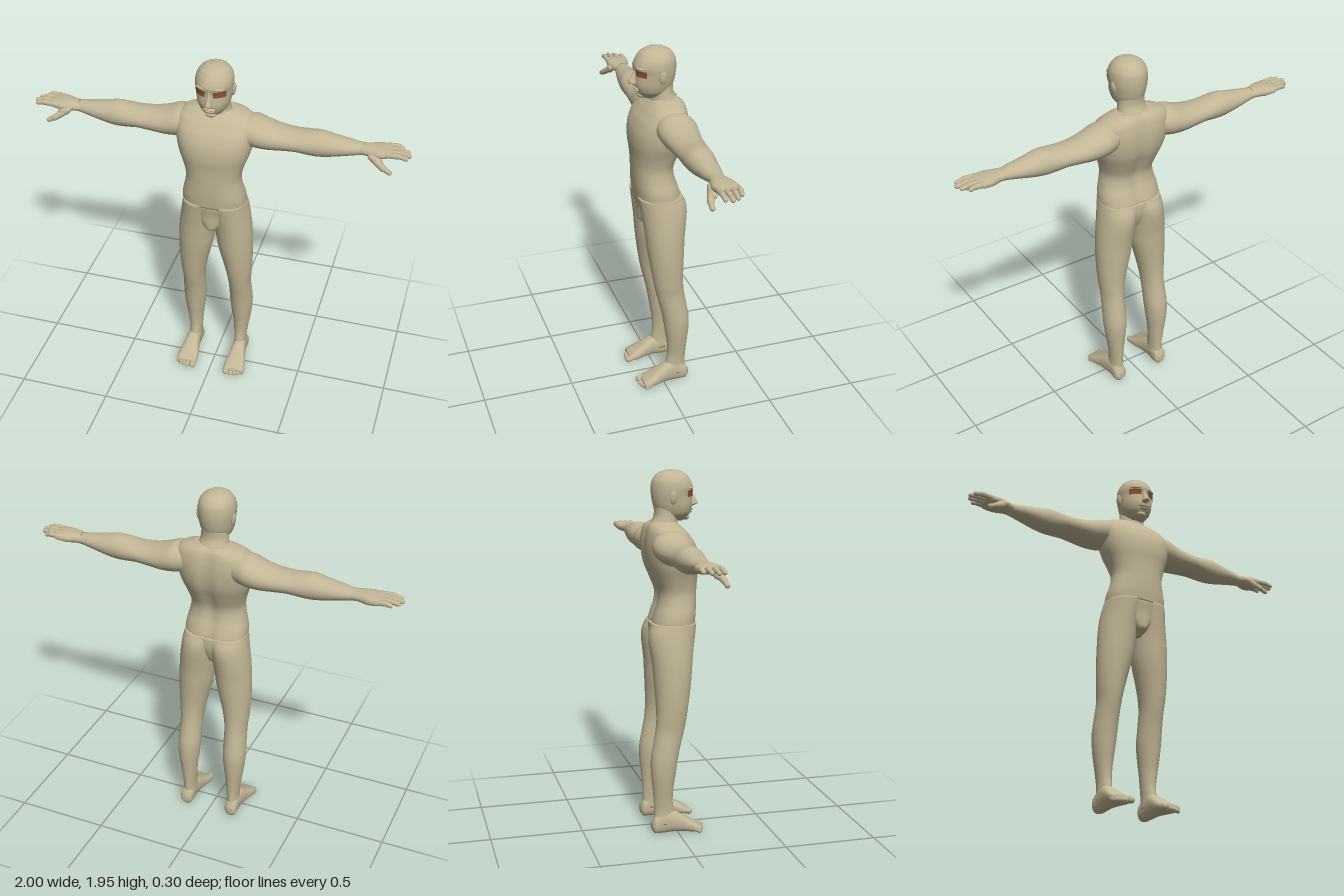
import * as THREE from 'three';

const skin = new THREE.MeshStandardMaterial({ color: 0xc2b696 });
skin.name = 'skin';
const eyeBrown = new THREE.MeshStandardMaterial({ color: 0x8c5238, side: THREE.DoubleSide });
eyeBrown.name = 'eye brown';

// Each axis with the two cross-section axes that follow it in right-handed order.
const AXES = { x: ['x', 'y', 'z'], y: ['y', 'z', 'x'], z: ['z', 'x', 'y'] };

// Smooth loft. Rows: [position, aMin, aMax, bMin, bMax, squareness], rising along the axis.
function loft(axis, rows, { seg = 36, sub = 5, arc = null, mirror = false, tweak = null } = {}) {
  const [u, a, b] = AXES[axis];
  const row = (i) => rows[Math.min(rows.length - 1, Math.max(0, i))];
  const rings = (rows.length - 1) * sub + 1;
  const cols = arc ? seg + 1 : seg;
  const [t0, t1] = arc || [0, Math.PI * 2];
  const pos = [], idx = [];
  const push = (p) => {
    if (tweak) tweak(p);
    pos.push(mirror ? -p.x : p.x, p.y, p.z);
  };
  const face = (i, j, k) => (mirror ? idx.push(i, k, j) : idx.push(i, j, k));
  const centres = [];
  for (let r = 0; r < rings; r++) {
    const i = Math.min(rows.length - 2, Math.floor(r / sub)), t = r / sub - i;
    const v = [0, 1, 2, 3, 4, 5].map((k) => {
      const [p0, p1, p2, p3] = [i - 1, i, i + 1, i + 2].map((n) => row(n)[k] ?? 2);
      const m1 = (p2 - p0) / 2, m2 = (p3 - p1) / 2;
      // position stays linear so that rings never fold over
      if (k === 0) return p1 + (p2 - p1) * t;
      return p1 + m1 * t + (3 * (p2 - p1) - 2 * m1 - m2) * t * t + (2 * (p1 - p2) + m1 + m2) * t ** 3;
    });
    const pw = (c) => Math.sign(c) * Math.abs(c) ** (2 / v[5]);
    for (let j = 0; j < cols; j++) {
      const th = t0 + ((t1 - t0) * j) / seg;
      const p = new THREE.Vector3();
      p[u] = v[0];
      p[a] = (v[1] + v[2]) / 2 + ((v[2] - v[1]) / 2) * pw(Math.cos(th));
      p[b] = (v[3] + v[4]) / 2 + ((v[4] - v[3]) / 2) * pw(Math.sin(th));
      push(p);
    }
    const c = new THREE.Vector3();
    c[u] = v[0]; c[a] = (v[1] + v[2]) / 2; c[b] = (v[3] + v[4]) / 2;
    centres.push(c);
  }
  for (let r = 0; r < rings - 1; r++) {
    for (let j = 0; j < seg; j++) {
      const k = (j + 1) % cols, p = r * cols, q = p + cols;
      face(p + j, p + k, q + k);
      face(p + j, q + k, q + j);
    }
  }
  if (!arc) {
    const lo = pos.length / 3, top = (rings - 1) * cols;
    push(centres[0]);
    push(centres[rings - 1]);
    for (let j = 0; j < seg; j++) {
      const k = (j + 1) % cols;
      face(lo, k, j);
      face(lo + 1, top + j, top + k);
    }
  }
  const g = new THREE.BufferGeometry();
  g.setAttribute('position', new THREE.Float32BufferAttribute(pos, 3));
  g.setIndex(idx);
  g.computeVertexNormals();
  return g;
}

function add(parent, name, geometry, material = skin) {
  const m = new THREE.Mesh(geometry, material);
  m.name = name;
  parent.add(m);
  return m;
}

// Rounded rod between two points, used for fingers and toes.
function rod(parent, name, from, to, radius) {
  const p = new THREE.Vector3(...from), q = new THREE.Vector3(...to);
  const d = q.clone().sub(p);
  const m = add(parent, name, new THREE.CapsuleGeometry(radius, d.length(), 5, 10));
  m.position.copy(p).add(q).multiplyScalar(0.5);
  m.quaternion.setFromUnitVectors(new THREE.Vector3(0, 1, 0), d.normalize());
  return m;
}

function ball(parent, name, pos, size) {
  const m = add(parent, name, new THREE.SphereGeometry(1, 18, 12));
  m.position.set(...pos);
  m.scale.set(...size);
  return m;
}

function buildHead() {
  const head = new THREE.Group();
  head.name = 'head';
  add(head, 'skull', loft('y', [
    [1.69, -0.04, 0.066, -0.03, 0.03], [1.703, -0.06, 0.085, -0.05, 0.05],
    [1.73, -0.075, 0.102, -0.072, 0.072], [1.765, -0.092, 0.113, -0.085, 0.085],
    [1.8, -0.101, 0.112, -0.091, 0.091], [1.83, -0.105, 0.109, -0.095, 0.095],
    [1.865, -0.106, 0.117, -0.097, 0.097], [1.9, -0.1, 0.104, -0.091, 0.091],
    [1.93, -0.08, 0.082, -0.073, 0.073], [1.948, -0.05, 0.052, -0.045, 0.045],
    [1.956, -0.012, 0.016, -0.012, 0.012]]));
  add(head, 'neck', loft('y', [
    [1.62, -0.13, 0.05, -0.1, 0.1], [1.67, -0.113, 0.035, -0.083, 0.083],
    [1.72, -0.09, 0.035, -0.072, 0.072], [1.78, -0.092, 0.05, -0.07, 0.07]]));
  add(head, 'nose', loft('y', [
    [1.766, 0.09, 0.122, -0.012, 0.012], [1.775, 0.09, 0.144, -0.02, 0.02],
    [1.79, 0.09, 0.143, -0.016, 0.016], [1.82, 0.085, 0.125, -0.011, 0.011],
    [1.85, 0.085, 0.115, -0.01, 0.01]], { seg: 16 }));
  ball(head, 'upperLip', [0, 1.749, 0.105], [0.032, 0.007, 0.014]);
  ball(head, 'lowerLip', [0, 1.736, 0.1], [0.027, 0.008, 0.015]);
  ball(head, 'chin', [0, 1.708, 0.078], [0.028, 0.017, 0.021]);
  for (const s of [-1, 1]) {
    ball(head, 'ear', [s * 0.095, 1.815, -0.01], [0.009, 0.034, 0.02]).rotation.z = -s * 0.12;
    ball(head, 'brow', [s * 0.042, 1.861, 0.096], [0.034, 0.008, 0.014]).rotation.y = s * 0.4;
    // thin patch following the face
    add(head, 'eye', loft('y', [
      [1.817, -0.105, 0.114, -0.098, 0.098], [1.833, -0.106, 0.114, -0.099, 0.099],
      [1.851, -0.106, 0.118, -0.1, 0.1]],
    { seg: 10, arc: s > 0 ? [0.22, 0.92] : [-0.92, -0.22] }), eyeBrown);
  }
  return head;
}

function buildTorso() {
  // shallow groove along the spine
  const spine = (p) => { if (p.z < -0.04) p.z += 0.014 * Math.exp(-((p.x / 0.03) ** 2)); };
  return loft('y', [
    [1.15, -0.118, 0.119, -0.17, 0.17, 2.4], [1.2, -0.105, 0.124, -0.167, 0.167, 2.4],
    [1.26, -0.087, 0.128, -0.153, 0.153, 2.3], [1.32, -0.085, 0.13, -0.146, 0.146, 2.3],
    [1.39, -0.11, 0.133, -0.162, 0.162, 2.4], [1.46, -0.138, 0.14, -0.187, 0.187, 2.4],
    [1.53, -0.15, 0.133, -0.2, 0.2, 2.5], [1.59, -0.15, 0.108, -0.203, 0.203, 2.6],
    [1.64, -0.142, 0.07, -0.197, 0.197, 2.5], [1.668, -0.132, 0.042, -0.165, 0.165, 2.3],
    [1.69, -0.112, 0.02, -0.1, 0.1, 2]], { seg: 56, tweak: spine });
}

function buildArm(s) {
  const arm = new THREE.Group();
  arm.name = s > 0 ? 'leftArm' : 'rightArm';
  const mirror = s < 0;
  add(arm, 'sleeve', loft('x', [
    [0.13, 1.5, 1.655, -0.13, 0.05], [0.2, 1.492, 1.658, -0.15, 0.057],
    [0.27, 1.488, 1.634, -0.145, 0.05], [0.34, 1.494, 1.617, -0.136, 0.042],
    [0.42, 1.499, 1.612, -0.128, 0.036], [0.48, 1.492, 1.618, -0.123, 0.034],
    [0.54, 1.489, 1.623, -0.118, 0.03], [0.61, 1.5, 1.61, -0.11, 0.02],
    [0.69, 1.518, 1.598, -0.098, 0.006], [0.76, 1.53, 1.589, -0.086, -0.01]], { mirror }));
  add(arm, 'palm', loft('x', [
    [0.735, 1.532, 1.588, -0.088, -0.008], [0.78, 1.533, 1.59, -0.092, 0],
    [0.83, 1.535, 1.59, -0.108, 0.012, 2.5], [0.88, 1.545, 1.587, -0.113, 0.008, 2.8],
    [0.905, 1.555, 1.581, -0.108, 0.002, 2.8]], { mirror, seg: 28 }));
  const tips = [0.945, 0.976, 0.988, 0.974];
  tips.forEach((x, i) => {
    const z = -0.098 + i * 0.031;
    const mid = (0.88 + x) / 2 + 0.01;
    rod(arm, 'finger', [s * 0.875, 1.569, z], [s * mid, 1.572, z], 0.0145);
    rod(arm, 'fingertip', [s * mid, 1.572, z], [s * (x - 0.001), 1.564, z * 0.97], 0.0122);
  });
  ball(arm, 'thumbBase', [s * 0.825, 1.54, 0.002], [0.045, 0.022, 0.022]).rotation.z = -s * 0.5;
  rod(arm, 'thumb', [s * 0.815, 1.542, 0.005], [s * 0.87, 1.508, 0.026], 0.017);
  rod(arm, 'thumbTip', [s * 0.87, 1.508, 0.026], [s * 0.903, 1.492, 0.03], 0.0135);
  return arm;
}

function buildLeg(s) {
  const leg = new THREE.Group();
  leg.name = s > 0 ? 'leftLeg' : 'rightLeg';
  const mirror = s < 0;
  add(leg, 'trouserLeg', loft('y', [
    [0.06, -0.13, -0.012, 0.098, 0.174], [0.12, -0.128, -0.015, 0.1, 0.168],
    [0.18, -0.13, -0.025, 0.097, 0.172], [0.26, -0.136, -0.022, 0.09, 0.184],
    [0.34, -0.144, -0.01, 0.08, 0.195], [0.42, -0.145, 0.002, 0.073, 0.2],
    [0.5, -0.132, 0.018, 0.072, 0.197], [0.58, -0.118, 0.038, 0.07, 0.194],
    [0.65, -0.112, 0.052, 0.06, 0.2], [0.74, -0.114, 0.066, 0.04, 0.205],
    [0.84, -0.12, 0.08, 0.016, 0.206], [0.92, -0.125, 0.088, 0.004, 0.203],
    [0.99, -0.134, 0.095, -0.006, 0.197], [1.06, -0.142, 0.105, -0.014, 0.187],
    [1.11, -0.137, 0.112, -0.02, 0.178, 2.1], [1.157, -0.118, 0.118, -0.03, 0.17, 2.2]], { mirror }));
  add(leg, 'foot', loft('z', [
    [-0.142, 0.118, 0.158, 0.025, 0.07], [-0.128, 0.103, 0.171, 0.008, 0.1, 2.4],
    [-0.08, 0.1, 0.173, 0.006, 0.13, 2.4], [-0.03, 0.098, 0.178, 0.008, 0.132, 2.3],
    [0.02, 0.092, 0.186, 0.008, 0.105, 2.4], [0.07, 0.084, 0.197, 0.005, 0.074, 2.5],
    [0.105, 0.082, 0.201, 0.005, 0.054, 2.6], [0.125, 0.088, 0.197, 0.008, 0.042, 2.6]],
  { mirror, seg: 28 }));
  // toes, big one on the inner side
  [0.133, 0.136, 0.131, 0.123, 0.113].forEach((z, i) => {
    const r = i ? 0.0125 : 0.0185;
    const x = i ? 0.112 + i * 0.0195 : 0.101;
    rod(leg, 'toe', [s * x, r + 0.014, 0.09], [s * x, r + 0.003, z], r);
  });
  return leg;
}

export function createModel() {
  const body = new THREE.Group();
  body.name = 'figure';
  body.add(buildHead());
  add(body, 'torso', buildTorso());
  // pelvis core between the legs
  add(body, 'pelvis', loft('y', [
    [0.965, -0.04, 0.06, -0.02, 0.02], [0.995, -0.08, 0.1, -0.045, 0.045],
    [1.03, -0.1, 0.106, -0.085, 0.085], [1.09, -0.118, 0.108, -0.15, 0.15],
    [1.155, -0.118, 0.118, -0.17, 0.17, 2.4]]));
  for (const s of [-1, 1]) body.add(buildArm(s), buildLeg(s));
  // stand the soles on the ground
  body.position.y = -new THREE.Box3().setFromObject(body).min.y;
  const model = new THREE.Group();
  model.name = 'model';
  model.add(body);
  return model;
}
